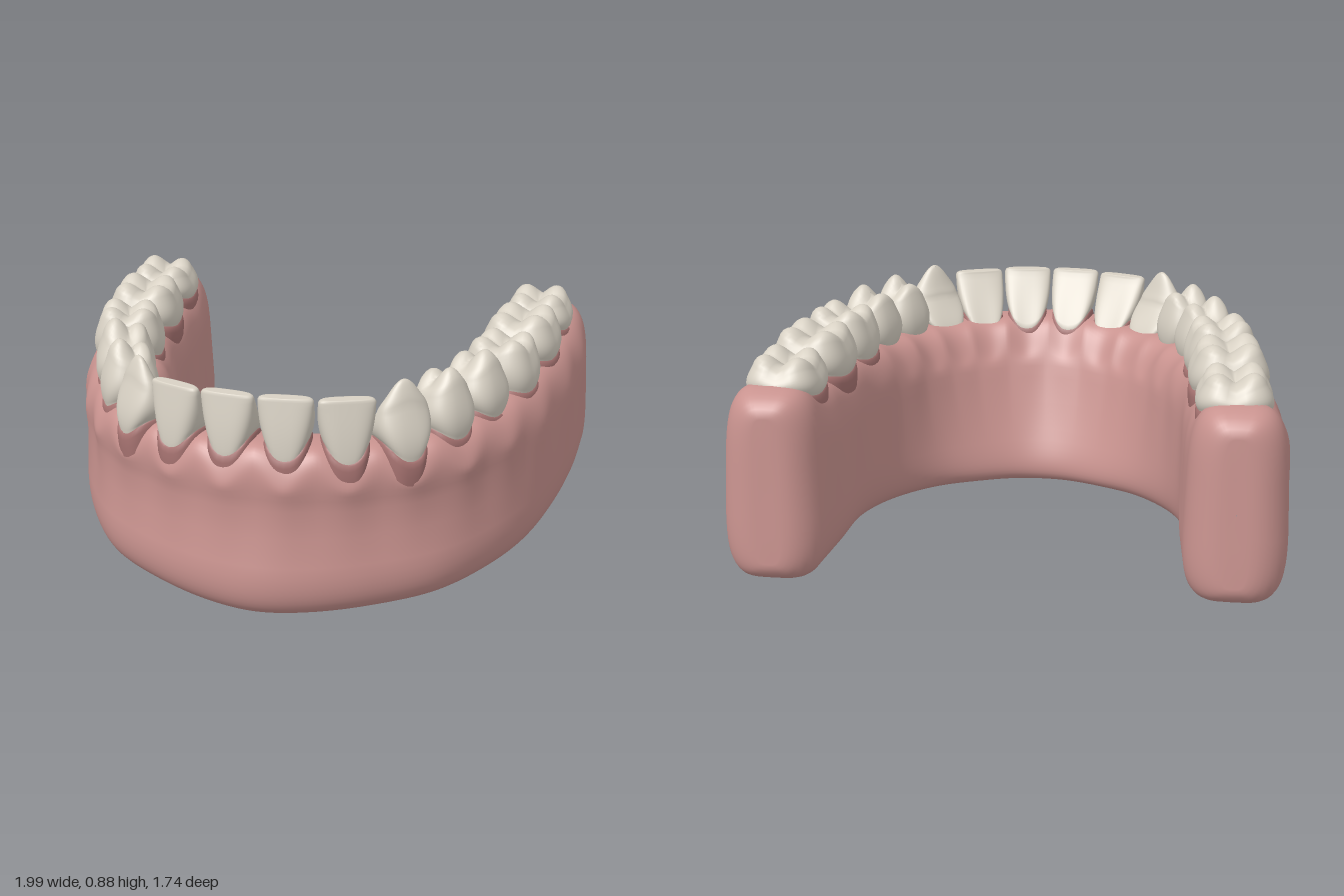
import * as THREE from 'three';

const { lerp, smoothstep, clamp, degToRad } = THREE.MathUtils;
const mat = (name, color) => Object.assign(new THREE.MeshStandardMaterial({ color }), { name });

// Half of the arch, midline to back:
// outer bottom x,z | outer top x,z | inner bottom x,z | inner top x,z | bottom y, top y
const STATIONS = [
  [0, .89, 0, .865, 0, .34, 0, .585, 0, .665],
  [.2, .85, .2, .84, .10, .325, .15, .55, .003, .66],
  [.41, .755, .41, .755, .22, .265, .29, .47, .01, .655],
  [.625, .605, .63, .61, .345, .18, .41, .34, .02, .66],
  [.78, .385, .78, .39, .45, .07, .49, .18, .03, .67],
  [.89, .13, .885, .13, .535, -.07, .555, 0, .04, .685],
  [.955, -.17, .95, -.17, .585, -.24, .60, -.20, .05, .695],
  [.99, -.47, .98, -.47, .60, -.48, .62, -.48, .055, .71],
  [1, -.73, .98, -.69, .62, -.73, .64, -.69, .06, .765],
];

// Crown shapes: width, outer and inner depth as [neck, top] fractions; cusps as [u, v, height]
const KINDS = {
  incisor: { w: [.74, .99], out: [.52, .42], inn: [-.48, .18], bulge: .05, relief: 0, soft: 1, scallop: .06, cusps: [[0, 0, 1]] },
  canine: { w: [.74, .92], out: [.46, .3], inn: [-.48, -.1], bulge: .17, relief: .14, soft: .9, scallop: .06, cusps: [[0, .2, 1]] },
  premolar: { w: [.82, .84], out: [.42, .33], inn: [-.42, -.36], bulge: .22, relief: .1, soft: .6, scallop: .045, cusps: [[0, .45, 1], [0, -.6, .75]] },
  molar: { w: [.9, .86], out: [.44, .39], inn: [-.44, -.39], bulge: .15, relief: .07, soft: .35, scallop: .03,
    cusps: [[.5, .55, 1], [-.5, .55, 1], [.5, -.55, .92], [-.5, -.55, .92]] },
};

// x, z, outward angle in degrees, width, depth, neck y, top y, kind, name
const TEETH = [
  [.096, .715, 6, .195, .21, .615, .84, 'incisor', 'centralIncisor'],
  [.283, .67, 20, .2, .21, .605, .835, 'incisor', 'lateralIncisor'],
  [.455, .59, 40, .2, .23, .595, .88, 'canine', 'canine'],
  [.582, .437, 56, .2, .22, .62, .875, 'premolar', 'firstPremolar'],
  [.668, .245, 67, .225, .235, .635, .88, 'premolar', 'secondPremolar'],
  [.73, .02, 76, .255, .28, .655, .86, 'molar', 'firstMolar'],
  [.765, -.275, 83, .315, .30, .68, .865, 'molar', 'secondMolar'],
  [.79, -.575, 87, .295, .28, .70, .85, 'molar', 'thirdMolar'],
];

// Join closed rings of points into a smooth skin
function loft(rings) {
  const n = rings[0].length, index = [];
  for (let r = 0; r < rings.length - 1; r++) {
    for (let i = 0; i < n; i++) {
      const a = r * n + i, b = r * n + (i + 1) % n;
      index.push(a, a + n, b, b, a + n, b + n);
    }
  }
  const g = new THREE.BufferGeometry().setFromPoints(rings.flat());
  g.setIndex(index);
  g.computeVertexNormals();
  return g;
}

// Unit superellipse outline
function outline(n, power) {
  const bend = (c) => Math.sign(c) * Math.abs(c) ** (2 / power);
  return Array.from({ length: n }, (_, i) => {
    const a = (i / n) * Math.PI * 2;
    return [bend(Math.cos(a)), bend(Math.sin(a))];
  });
}

// Closeness to a tooth centre along the arch: 1 at a tooth, near 0 between teeth
function toothPull(x, z) {
  let pull = 0;
  for (const [tx, tz, deg, w] of TEETH) {
    const a = degToRad(deg), dx = Math.abs(x) - tx, dz = z - tz;
    const along = dx * Math.cos(a) - dz * Math.sin(a);
    const across = dx * Math.sin(a) + dz * Math.cos(a);
    if (Math.abs(across) < .35) pull = Math.max(pull, Math.exp(-((along / (w * .36)) ** 2)));
  }
  return pull;
}

// Gum: rounded cross-section swept between four rails
function gumGeometry() {
  const rail = (k, ky) => {
    const half = STATIONS.map((s) => new THREE.Vector3(s[k], s[ky], s[k + 1]));
    const left = half.slice(1).reverse().map((p) => new THREE.Vector3(-p.x, p.y, p.z));
    return new THREE.CatmullRomCurve3([...left, ...half], false, 'catmullrom', .5);
  };
  const rails = [rail(0, 8), rail(2, 9), rail(4, 8), rail(6, 9)];
  const section = outline(64, 4);

  // angle turns the section round the back end, close shrinks it shut
  const ring = (t, angle, close = 1) => {
    const [ob, ot, ib, it] = rails.map((c) => c.getPoint(t));
    const turn = 1 - Math.cos(angle), back = .14 * Math.sin(angle);
    const su = (1 - .72 * turn) * close, sv = (1 - .25 * turn) * close;
    const front = smoothstep(ob.z, -.1, .7);
    return section.map(([cu, cv]) => {
      const u = cu * su, v = cv * sv, k = (v + 1) / 2;
      const outer = ob.clone().lerp(ot, k);
      const inner = ib.clone().lerp(it, 1 - (1 - k) ** 1.6);
      const p = inner.clone().lerp(outer, (u + 1) / 2);
      p.y = lerp(ob.y, ot.y, k);
      const dir = outer.sub(inner).setY(0).normalize();
      const pull = toothPull(p.x, p.z);
      const high = smoothstep(v, -.3, .75);
      // waist at the front, root bulges, scalloped edge
      const waist = .035 * front * Math.exp(-(((v - .15) / .45) ** 2));
      const side = Math.max(0, u) * (.014 * (pull - .5) * high - waist)
        + Math.min(0, u) * .008 * (pull - .5) * high;
      p.addScaledVector(dir, side);
      p.y -= (.035 + .045 * front) * pull * u * u * smoothstep(v, .4, .95);
      p.z -= back;
      return p;
    });
  };

  const turns = [0, 1, 2, 3, 4, 5, 6, 7, 8].map((i) => (i / 8) * Math.PI / 2);
  const rings = [.01, .5].map((c) => ring(0, Math.PI / 2, c));
  for (const a of turns.slice().reverse()) rings.push(ring(0, a));
  for (let i = 1; i < 200; i++) rings.push(ring(i / 200, 0));
  for (const a of turns) rings.push(ring(1, a));
  for (const c of [.5, .01]) rings.push(ring(1, Math.PI / 2, c));
  return loft(rings);
}

// Crown and the gum collar around its neck
function toothGeometries([, , , w, d, neck, top, kind]) {
  const K = KINDS[kind], shape = outline(40, 2.8);
  const size = (t) => {
    const b = 1 + K.bulge * Math.sin(Math.PI * clamp(t, 0, 1) ** .85);
    return [lerp(...K.w, Math.sqrt(t)) * w * b / 2, lerp(...K.out, t) * d * b, lerp(...K.inn, t) * d * b];
  };
  const topY = (u, v) => {
    const h = K.cusps.map(([cu, cv, s]) => s * Math.exp(-((u - cu) ** 2 + (v - cv) ** 2) / K.soft));
    return top - K.relief * (1 - Math.max(...h));
  };
  const neckY = (u) => neck + K.scallop * u * u;
  const place = (t, u, v, y, s = 1) => {
    const [hw, out, inn] = size(t), mid = (out + inn) / 2;
    return new THREE.Vector3(u * hw * s, y, mid + v * (out - inn) / 2 * s);
  };

  const crown = [];
  crown.push(shape.map(([u, v]) => place(0, u, v, neckY(u) - .06, .93)));
  for (let i = 0; i <= 10; i++) {
    const t = i / 10;
    crown.push(shape.map(([u, v]) => place(t, u, v, lerp(neckY(u), topY(u, v) - .012, t))));
  }
  for (const s of [.95, .86, .75, .63, .5, .38, .26, .14, .01]) {
    crown.push(shape.map(([u, v]) => place(1, u * s, v * s, topY(u * s, v * s) - (s > .9 ? .004 : 0))));
  }

  const collar = [[-.085, 1.03], [-.05, 1.06], [-.02, 1.07], [0, 1.05], [.006, .98]].map(([dy, s]) =>
    shape.map(([u, v]) => place(.03, u, v, neckY(u) + dy, s)));
  return { crown: loft(crown), collar: loft(collar) };
}

export function createModel() {
  const gumMat = mat('gum pink', 0xc9938f);
  const marginMat = mat('gum margin', 0xa87472);
  const enamelMat = mat('tooth enamel', 0xd8d1c4);

  const model = new THREE.Group();
  model.name = 'lowerJaw';
  const gum = new THREE.Mesh(gumGeometry(), gumMat);
  gum.name = 'gum';
  model.add(gum);

  // Eight teeth, mirrored to both sides
  for (const tooth of TEETH) {
    const { crown, collar } = toothGeometries(tooth);
    for (const side of [1, -1]) {
      const group = new THREE.Group();
      group.name = (side > 0 ? 'left ' : 'right ') + tooth[8];
      const crownMesh = new THREE.Mesh(crown, enamelMat);
      crownMesh.name = 'crown';
      const collarMesh = new THREE.Mesh(collar, marginMat);
      collarMesh.name = 'gumCollar';
      group.add(crownMesh, collarMesh);
      group.position.set(side * tooth[0], 0, tooth[1]);
      group.rotation.y = side * degToRad(tooth[2]);
      model.add(group);
    }
  }
  return model;
}
